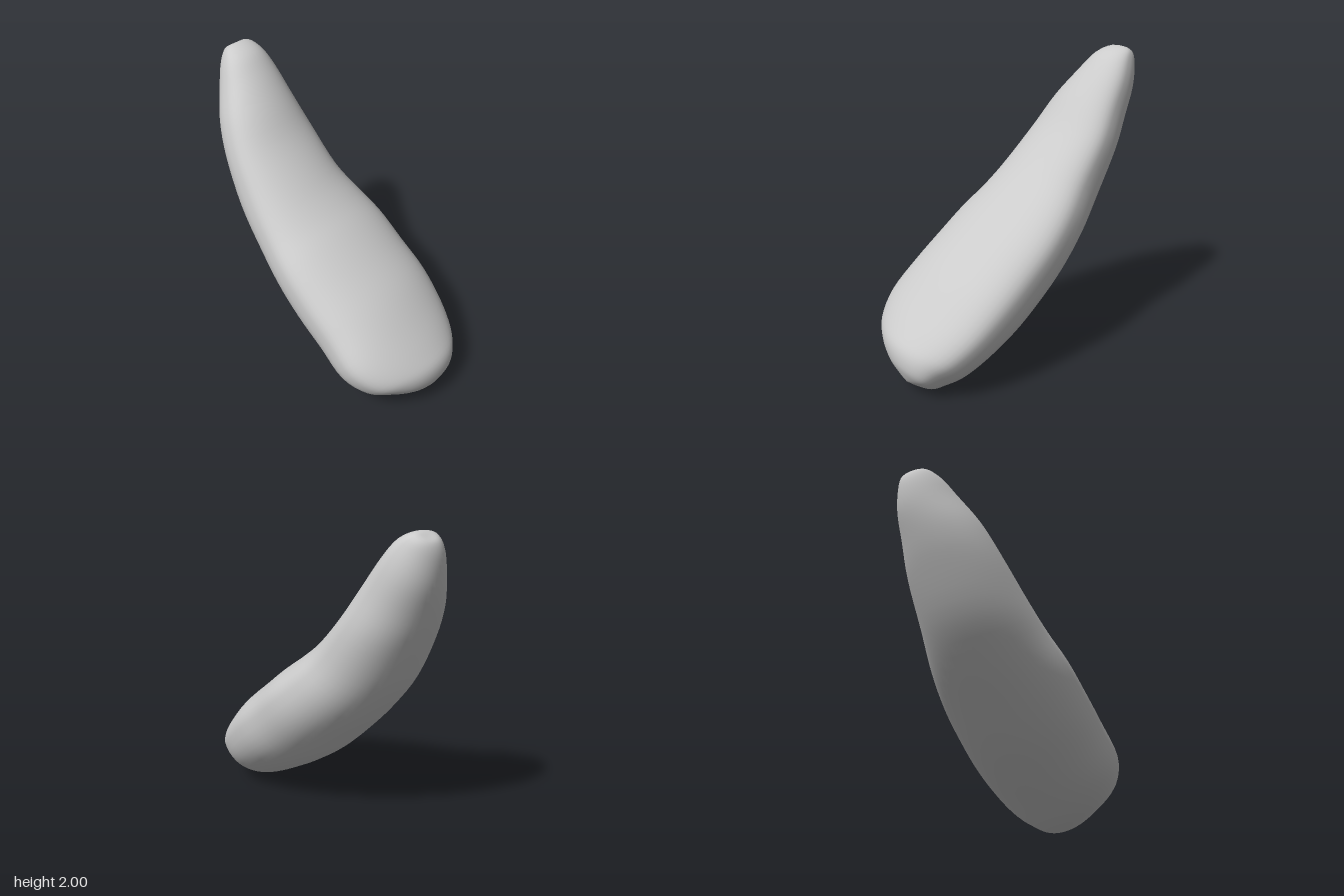
import * as THREE from 'three';
import { mergeVertices } from 'three/addons/utils/BufferGeometryUtils.js';

// Cross-sections from the narrow top tip to the broad bottom tip:
// lower edge x, y, upper edge x, y, front z, back z
const SECTIONS = [
  [-0.89, 1.975, -0.89, 1.975, -0.08, -0.08],
  [-0.935, 1.94, -0.83, 2.0, 0.0, -0.17],
  [-0.95, 1.85, -0.72, 1.96, 0.07, -0.22],
  [-0.93, 1.7, -0.62, 1.86, 0.14, -0.26],
  [-0.87, 1.52, -0.48, 1.69, 0.24, -0.29],
  [-0.78, 1.32, -0.33, 1.49, 0.31, -0.33],
  [-0.62, 1.03, -0.12, 1.27, 0.37, -0.36],
  [-0.42, 0.78, 0.03, 1.14, 0.41, -0.42],
  [-0.2, 0.56, 0.18, 1.03, 0.45, -0.465],
  [0.0, 0.38, 0.36, 0.89, 0.465, -0.475],
  [0.2, 0.24, 0.56, 0.73, 0.47, -0.48],
  [0.4, 0.12, 0.74, 0.55, 0.475, -0.45],
  [0.55, 0.04, 0.87, 0.41, 0.39, -0.39],
  [0.66, 0.005, 0.935, 0.32, 0.25, -0.31],
  [0.75, 0.003, 0.945, 0.22, 0.12, -0.24],
  [0.83, 0.04, 0.92, 0.14, 0.01, -0.15],
  [0.89, 0.08, 0.89, 0.08, -0.07, -0.07],
];
const RINGS = 64, SIDES = 48;
const RIDGE = 0.62; // how far the side ridge sits from lower to upper edge

// Smooth curve through one pair of section columns
const track = (a, b) => new THREE.CatmullRomCurve3(
  SECTIONS.map((s) => new THREE.Vector3(s[a], s[b], 0)), false, 'catmullrom', 0.5);

function bodyGeometry() {
  const lower = track(0, 1), upper = track(2, 3), width = track(4, 5);
  const positions = [], index = [];
  for (let i = 0; i <= RINGS; i++) {
    const t = i / RINGS;
    const low = lower.getPoint(t), high = upper.getPoint(t), w = width.getPoint(t);
    const ridge = low.clone().lerp(high, RIDGE);
    for (let j = 0; j < SIDES; j++) {
      // Shallow dome above the ridge, deeper belly below it
      const a = (j / SIDES) * Math.PI * 2, s = Math.sin(a);
      const p = ridge.clone().lerp(s > 0 ? high : low, Math.abs(s) ** 0.9);
      positions.push(p.x, p.y, (w.x + w.y) / 2 + ((w.x - w.y) / 2) * Math.cos(a));
      if (i === RINGS) continue;
      const k = (j + 1) % SIDES, r = i * SIDES, n = r + SIDES;
      if (i < RINGS - 1) index.push(r + j, n + j, n + k);
      else index.push(r + j, n + j, r + k);
      if (i > 0 && i < RINGS - 1) index.push(r + j, n + k, r + k);
    }
  }
  let geometry = new THREE.BufferGeometry();
  geometry.setAttribute('position', new THREE.Float32BufferAttribute(positions, 3));
  geometry.setIndex(index);
  geometry = mergeVertices(geometry, 1e-5); // closes both tips
  geometry.computeVertexNormals();
  return geometry;
}

export function createModel() {
  const group = new THREE.Group();
  group.name = 'curvedPod';
  const body = new THREE.Mesh(bodyGeometry(), new THREE.MeshStandardMaterial({ color: 0xcccccc }));
  body.name = 'body';
  group.add(body);
  return group;
}
